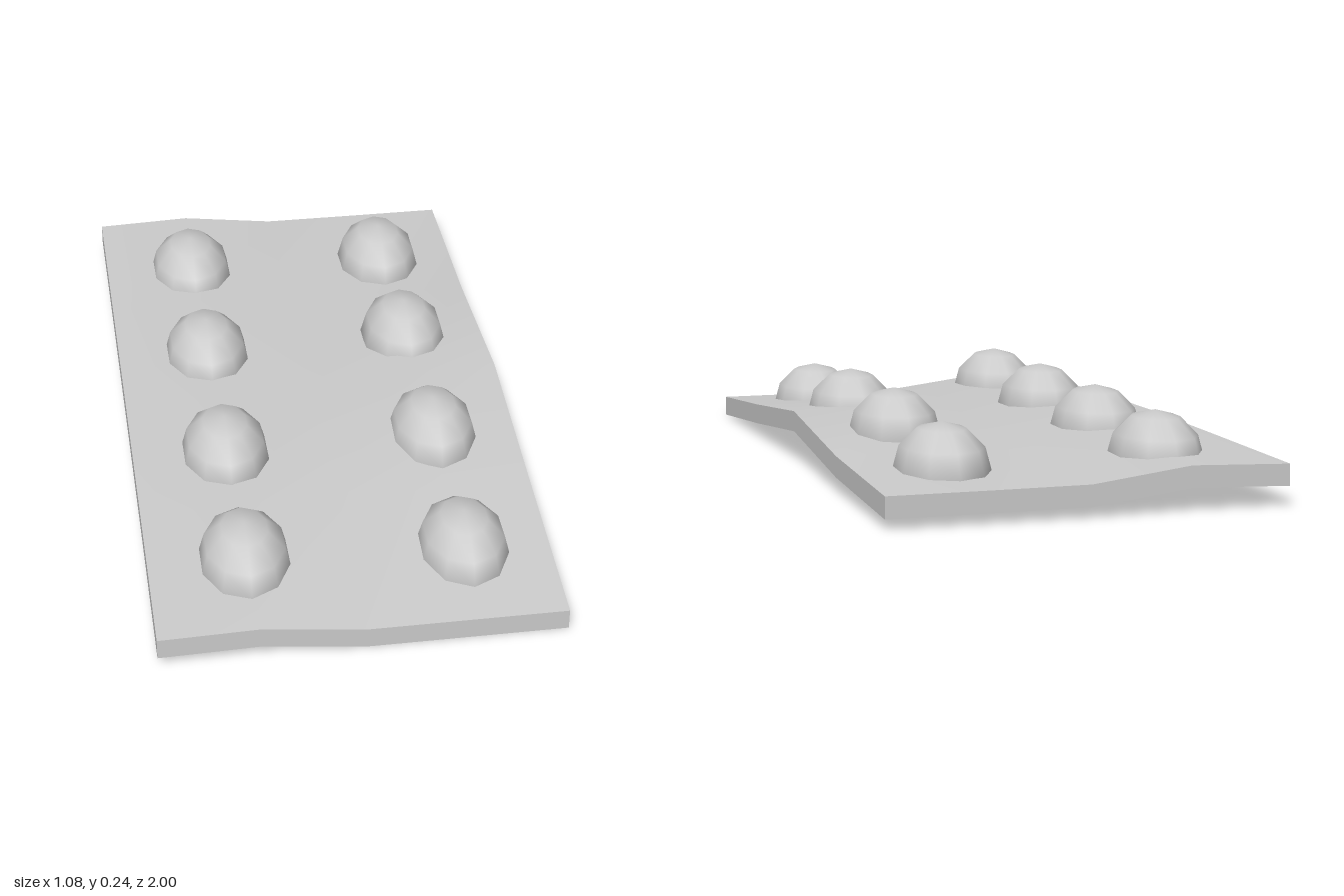
import * as THREE from 'three';

const WIDTH = 1.08, LENGTH = 2, THICKNESS = 0.058, SEGMENTS = 4;

// Top surface heights: rows run back to front (z), columns run along x
const HEIGHTS = [
  [0.113, 0.122, 0.087, 0.086, 0.086],
  [0.113, 0.124, 0.100, 0.106, 0.105],
  [0.112, 0.123, 0.100, 0.154, 0.154],
  [0.103, 0.112, 0.124, 0.103, 0.103],
  [0.085, 0.092, 0.058, 0.058, 0.058],
];

// Domes: z position and peak height on each side
const DOME_ROWS = [
  { z: -0.71, peaks: [0.225, 0.220] },
  { z: -0.24, peaks: [0.230, 0.245] },
  { z: 0.25, peaks: [0.229, 0.236] },
  { z: 0.715, peaks: [0.220, 0.194] },
];
const DOME_X = [-0.28, 0.31];
const DOME_HEIGHT = 0.13;

// Slab bent over the height grid
function createSlab(material) {
  const geometry = new THREE.BoxGeometry(WIDTH, THICKNESS, LENGTH, SEGMENTS, 1, SEGMENTS);
  const p = geometry.attributes.position;
  for (let i = 0; i < p.count; i++) {
    const column = Math.round((p.getX(i) / WIDTH + 0.5) * SEGMENTS);
    const row = Math.round((p.getZ(i) / LENGTH + 0.5) * SEGMENTS);
    p.setY(i, p.getY(i) - THICKNESS / 2 + HEIGHTS[row][column]);
  }
  geometry.computeVertexNormals();
  const slab = new THREE.Mesh(geometry, material);
  slab.name = 'wavySlab';
  return slab;
}

export function createModel() {
  const group = new THREE.Group();
  group.name = 'studdedSlab';
  const material = new THREE.MeshStandardMaterial({ color: 0xcccccc });
  const domeMaterial = new THREE.MeshStandardMaterial({ color: 0xcccccc, side: THREE.DoubleSide });
  group.add(createSlab(material));

  // Oval half-dome studs, sunk into the slab
  const domeGeometry = new THREE.SphereGeometry(1, 10, 3, 0, Math.PI * 2, 0, Math.PI / 2);
  domeGeometry.rotateY(Math.PI / 2);
  domeGeometry.scale(0.126, DOME_HEIGHT, 0.17);
  for (const { z, peaks } of DOME_ROWS) {
    DOME_X.forEach((x, side) => {
      const dome = new THREE.Mesh(domeGeometry, domeMaterial);
      dome.name = side ? 'leftDome' : 'rightDome';
      dome.position.set(x, peaks[side] - DOME_HEIGHT, z);
      group.add(dome);
    });
  }
  return group;
}
